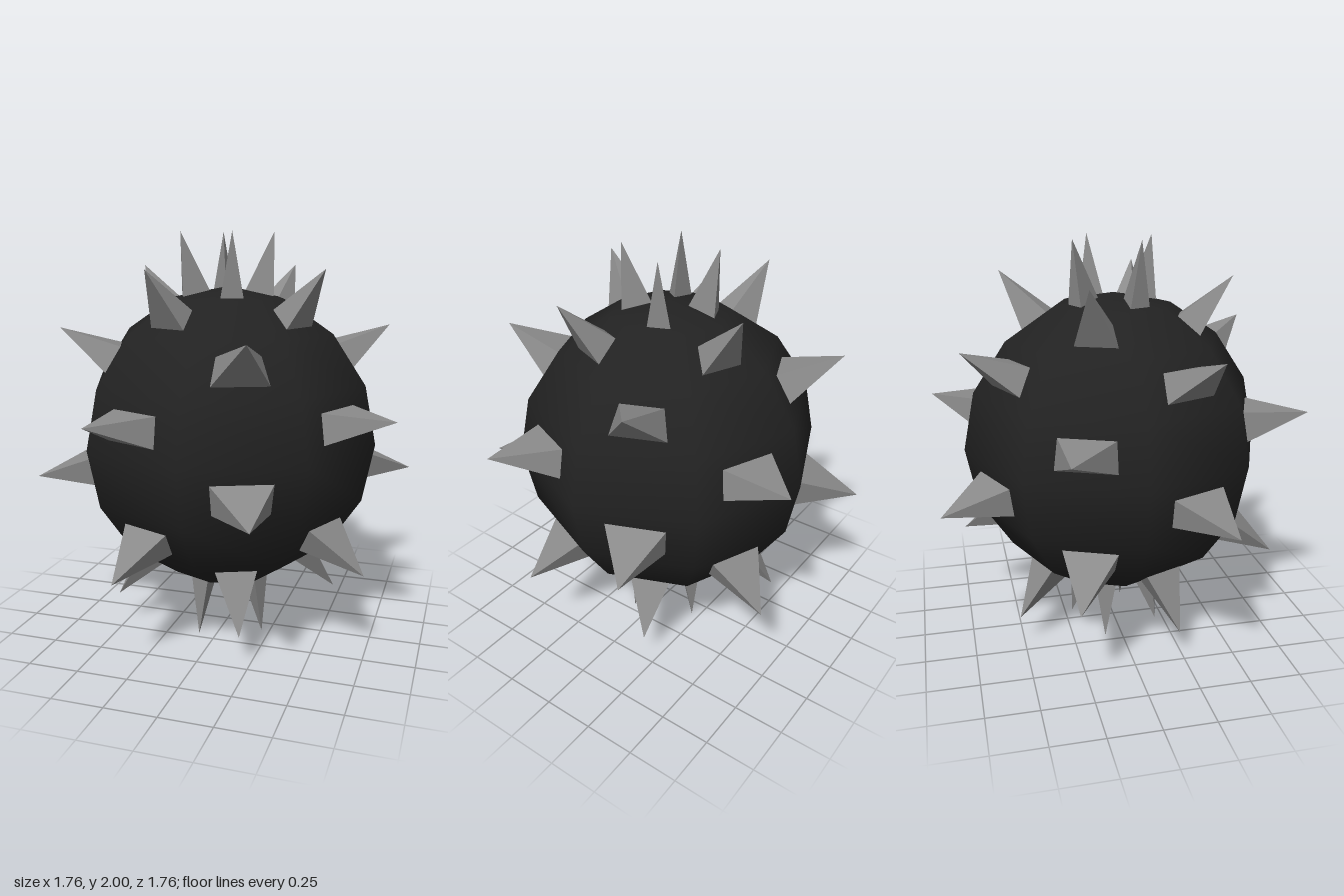
import * as THREE from 'three';

const R = 0.741;          // ball radius
const SEG = 8;            // ball segments, both around and top to bottom
const INSET = 0.5;        // spike base size relative to a ball facet
// Spike tips per row from the pole to the equator: [distance from axis, height]
const TIPS = [[0.227, 1.0], [0.565, 0.833], [0.813, 0.549], [0.95, 0.192]];

// Point on the ball from row (pole to pole) and azimuth
function ballPoint(row, azimuth) {
  const polar = row * Math.PI / SEG;
  return new THREE.Vector3(
    R * Math.sin(polar) * Math.cos(azimuth),
    R * Math.cos(polar),
    R * Math.sin(polar) * Math.sin(azimuth));
}

// Pyramid standing on the shrunken facet of one row
function spikeGeometry(row, azimuth) {
  const half = Math.PI / SEG;
  const corners = [];
  // Counter-clockwise seen from outside; pole facets are triangles
  if (row === 0) corners.push(ballPoint(0, azimuth));
  else corners.push(ballPoint(row, azimuth - half), ballPoint(row, azimuth + half));
  if (row === SEG - 1) corners.push(ballPoint(SEG, azimuth));
  else corners.push(ballPoint(row + 1, azimuth + half), ballPoint(row + 1, azimuth - half));

  const centre = new THREE.Vector3();
  corners.forEach((c) => centre.addScaledVector(c, 1 / corners.length));
  corners.forEach((c) => c.sub(centre).multiplyScalar(INSET).add(centre));

  const upper = row < SEG / 2;
  const [radius, height] = TIPS[upper ? row : SEG - 1 - row];
  const tip = new THREE.Vector3(
    radius * Math.cos(azimuth), upper ? height : -height, radius * Math.sin(azimuth));

  const points = [];
  corners.forEach((c, i) => {
    const next = corners[(i + 1) % corners.length];
    // Keep every side facing outwards from the spike's axis
    const normal = next.clone().sub(c).cross(tip.clone().sub(c));
    const outward = c.clone().add(next).multiplyScalar(0.5).sub(centre);
    if (normal.dot(outward) > 0) points.push(c, next, tip);
    else points.push(next, c, tip);
  });
  const geometry = new THREE.BufferGeometry().setFromPoints(points);
  geometry.computeVertexNormals(); // unshared corners give flat sides
  return geometry;
}

export function createModel() {
  const model = new THREE.Group();
  model.name = 'spikedBall';

  const black = new THREE.MeshStandardMaterial({ color: 0x222222 });
  black.name = 'ballBlack';
  const grey = new THREE.MeshStandardMaterial({ color: 0x8a8a8a });
  grey.name = 'spikeGrey';

  // Ball
  const ball = new THREE.Mesh(new THREE.SphereGeometry(R, SEG, SEG), black);
  ball.name = 'ball';
  ball.position.y = 1;
  model.add(ball);

  // Spikes on every other facet, like a checkerboard
  const spikes = new THREE.Group();
  spikes.name = 'spikes';
  spikes.position.y = 1;
  for (let row = 0; row < SEG; row++) {
    const start = (row % 2 ? 1 : -1) * Math.PI / SEG;
    for (let k = 0; k < SEG / 2; k++) {
      const spike = new THREE.Mesh(spikeGeometry(row, start + k * Math.PI / 2), grey);
      spike.name = 'spike';
      spikes.add(spike);
    }
  }
  model.add(spikes);
  return model;
}
